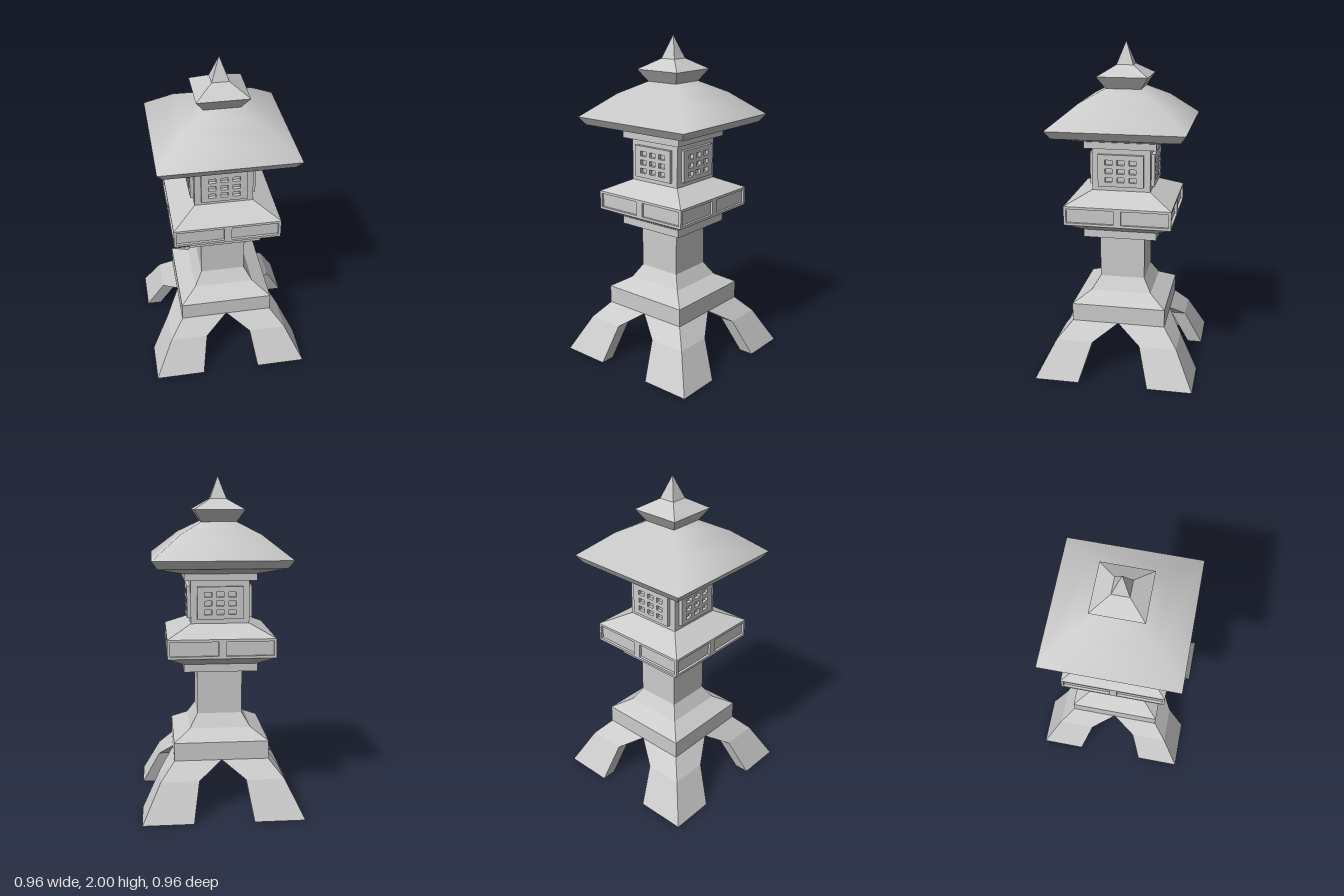
import * as THREE from 'three';

const flat = new THREE.MeshStandardMaterial({ color: 0xcccccc, flatShading: true });
const smooth = new THREE.MeshStandardMaterial({ color: 0xcccccc });

// Square tower section from a profile of [half width, height], bottom to top
function square(name, profile, material = flat) {
  const pts = profile.map(([h, y]) => new THREE.Vector2(h * Math.SQRT2, y));
  let geo = new THREE.LatheGeometry(pts, 4, Math.PI / 4);
  if (material === flat) {
    geo = geo.toNonIndexed();
    geo.computeVertexNormals();
  }
  const mesh = new THREE.Mesh(geo, material);
  mesh.name = name;
  return mesh;
}

function rectPath(path, x0, x1, y0, y1) {
  path.moveTo(x0, y0);
  path.lineTo(x1, y0);
  path.lineTo(x1, y1);
  path.lineTo(x0, y1);
  path.closePath();
  return path;
}

// Upright plate pierced by rectangular openings, repeated on all four sides
function platesAround(name, outer, holes, inner, depth) {
  const group = new THREE.Group();
  group.name = name + 's';
  const shape = rectPath(new THREE.Shape(), ...outer);
  for (const h of holes) shape.holes.push(rectPath(new THREE.Path(), ...h));
  const geo = new THREE.ExtrudeGeometry(shape, { depth, bevelEnabled: false });
  geo.translate(0, 0, inner);
  for (let i = 0; i < 4; i++) {
    const mesh = new THREE.Mesh(geo, flat);
    mesh.name = name;
    mesh.rotation.y = i * Math.PI / 2;
    group.add(mesh);
  }
  return group;
}

// Splayed leg with an L-shaped section, lofted through three heights
function leg(sx, sz) {
  const t = 0.09;
  const levels = [ // height, outer corner, gap half width along x and z
    [0, 0.48, 0.178, 0.21],
    [0.22, 0.37, 0.14, 0.145],
    [0.32, 0.283, 0, 0],
  ];
  const rings = levels.map(([y, r, gx, gz]) =>
    [[r, r], [r, gz], [r - t, gz], [r - t, r - t], [gx, r - t], [gx, r]]
      .map(([x, z]) => [x * sx, y, z * sz]));
  const pos = [];
  const tri = (a, b, c) => pos.push(...a, ...(sx * sz > 0 ? [...b, ...c] : [...c, ...b]));
  const quad = (a, b, c, d) => { tri(a, b, c); tri(a, c, d); };
  for (let k = 0; k < 2; k++) {
    for (let i = 0; i < 6; i++) {
      const j = (i + 1) % 6;
      quad(rings[k][i], rings[k][j], rings[k + 1][j], rings[k + 1][i]);
    }
  }
  // sole and top caps
  const [b, , c] = rings;
  quad(b[0], b[3], b[2], b[1]);
  quad(b[0], b[5], b[4], b[3]);
  quad(c[0], c[1], c[2], c[3]);
  quad(c[0], c[3], c[4], c[5]);
  const geo = new THREE.BufferGeometry();
  geo.setAttribute('position', new THREE.Float32BufferAttribute(pos, 3));
  geo.computeVertexNormals();
  const mesh = new THREE.Mesh(geo, flat);
  mesh.name = 'leg';
  return mesh;
}

export function createModel() {
  const model = new THREE.Group();
  model.name = 'stoneLantern';

  for (const sx of [-1, 1]) for (const sz of [-1, 1]) model.add(leg(sx, sz));

  // Base block flaring up into the shaft
  model.add(square('baseAndShaft', [
    [0, 0.32], [0.285, 0.32], [0.285, 0.43], [0.185, 0.49], [0.137, 0.57], [0.137, 0.86],
  ]));

  // Platform with two sunken panels per side
  model.add(square('platform', [
    [0, 0.85], [0.22, 0.85], [0.22, 0.897], [0.32, 0.95], [0.305, 0.95],
    [0.305, 1.065], [0.32, 1.065], [0.175, 1.135], [0, 1.135],
  ]));
  model.add(platesAround('platformFrame', [-0.32, 0.32, 0.95, 1.065],
    [[-0.305, -0.02, 0.965, 1.05], [0.025, 0.305, 0.965, 1.05]], 0.305, 0.015));

  // Light chamber with a lattice window on each side
  model.add(square('lightChamber', [[0.175, 1.13], [0.175, 1.41]]));
  const panes = [];
  for (const x of [-0.072, 0, 0.072]) {
    for (const y of [1.205, 1.257, 1.31]) panes.push([x - 0.022, x + 0.022, y - 0.015, y + 0.015]);
  }
  model.add(platesAround('latticeWindow', [-0.137, 0.137, 1.163, 1.357], panes, 0.175, 0.021));

  // Collar, eaves and curved roof
  model.add(square('collar', [[0, 1.395], [0.215, 1.395], [0.215, 1.44]]));
  model.add(square('eaves', [[0, 1.435], [0.215, 1.435], [0.37, 1.477], [0.403, 1.525]]));
  model.add(square('roof', [[0.403, 1.525], [0.235, 1.663], [0.105, 1.732], [0, 1.732]].slice(0, 3), smooth));

  // Small cap and pointed finial
  model.add(square('cap', [[0, 1.73], [0.105, 1.73], [0.152, 1.803], [0.05, 1.865]]));
  model.add(square('finial', [[0.05, 1.865], [0, 2]]));

  return model;
}
